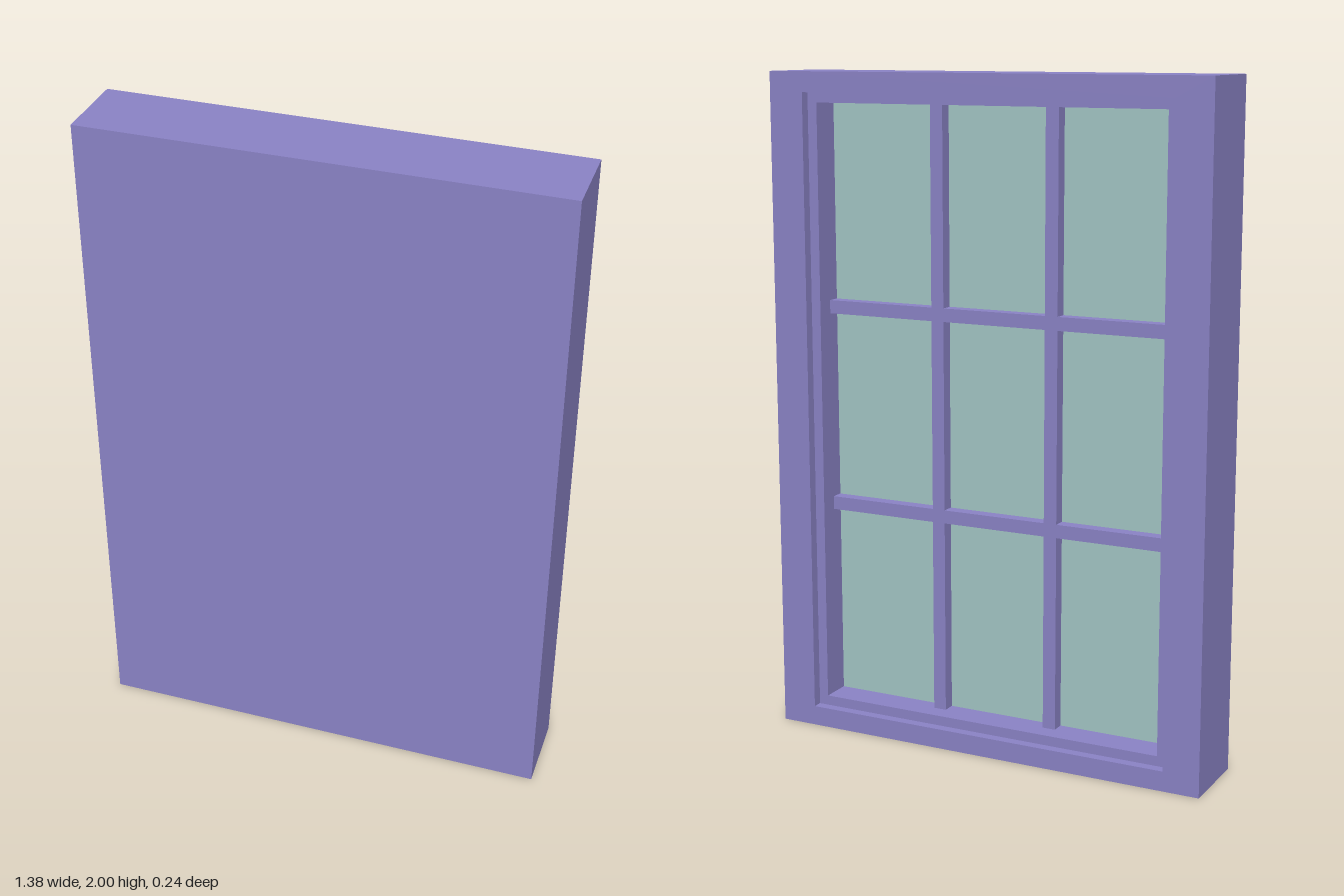
import * as THREE from 'three';

const WIDTH = 1.38, HEIGHT = 2, MID = HEIGHT / 2;
const BACK = -0.12, FRONT = 0.12, GLASS = 0.01; // z levels
const OPEN_W = 1.16, OPEN_H = 1.88;             // casing opening
const PANE_W = 1.10, PANE_H = 1.82;             // sash opening
const BAR = 0.04, BAR_DEPTH = 0.045;

const painted = new THREE.MeshStandardMaterial({ color: 0x8c84c8 });
painted.name = 'lavender paint';
const glass = new THREE.MeshStandardMaterial({ color: 0xa4c8c6 });
glass.name = 'pale green glass';

function addMesh(group, name, geometry, material, x, y, z) {
  const mesh = new THREE.Mesh(geometry, material);
  mesh.name = name;
  mesh.position.set(x, y, z);
  group.add(mesh);
}

function rectangle(Type, w, h) {
  return new Type([[-1, -1], [1, -1], [1, 1], [-1, 1]]
    .map(([x, y]) => new THREE.Vector2(x * w / 2, y * h / 2)));
}

// Rectangular ring extruded along +z
function ring(outerW, outerH, innerW, innerH, depth) {
  const shape = rectangle(THREE.Shape, outerW, outerH);
  shape.holes.push(rectangle(THREE.Path, innerW, innerH));
  return new THREE.ExtrudeGeometry(shape, { depth, bevelEnabled: false });
}

export function createModel() {
  const model = new THREE.Group();
  model.name = 'window';

  // Solid panel closing the front
  const panelDepth = FRONT - GLASS;
  addMesh(model, 'frontPanel', new THREE.BoxGeometry(WIDTH, HEIGHT, panelDepth),
    painted, 0, MID, GLASS + panelDepth / 2);

  // Outer casing and the sash set back inside it
  addMesh(model, 'casing', ring(WIDTH, HEIGHT, OPEN_W, OPEN_H, GLASS - BACK),
    painted, 0, MID, BACK);
  const sashBack = BACK + 0.03;
  addMesh(model, 'sash', ring(OPEN_W, OPEN_H, PANE_W, PANE_H, GLASS - sashBack),
    painted, 0, MID, sashBack);

  // Glass sheet behind the bars
  addMesh(model, 'glassPane', new THREE.BoxGeometry(PANE_W, PANE_H, 0.006),
    glass, 0, MID, GLASS - 0.003);

  // Glazing bars dividing the sash in thirds both ways
  const barZ = GLASS - BAR_DEPTH / 2;
  for (const side of [-1, 1]) {
    addMesh(model, 'verticalBar', new THREE.BoxGeometry(BAR, PANE_H, BAR_DEPTH),
      painted, side * PANE_W / 6, MID, barZ);
    addMesh(model, 'horizontalBar', new THREE.BoxGeometry(PANE_W, BAR, BAR_DEPTH),
      painted, 0, MID + side * PANE_H / 6, barZ);
  }
  return model;
}
